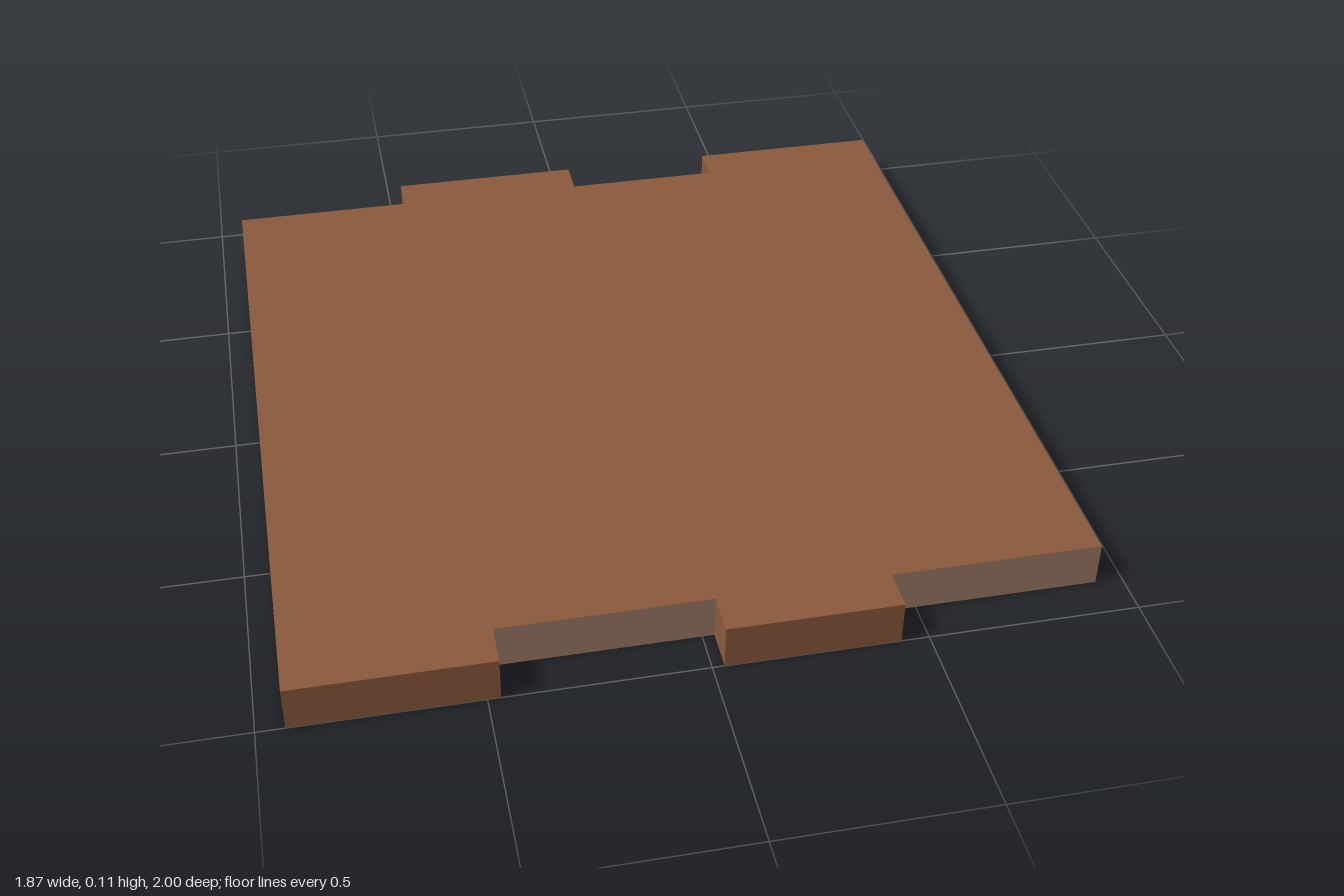
import * as THREE from 'three';

const HEIGHT = 0.11;
// Board seams across the width; neighbouring boards are staggered lengthwise
const SEAMS = [-0.935, -0.47, 0.028, 0.435, 0.935];
const LONG = 1, SHORT = 0.9;

export function createModel() {
  const wood = new THREE.MeshStandardMaterial({ color: 0x8b5a3e });
  wood.name = 'brown wood';
  const endGrain = new THREE.MeshStandardMaterial({ color: 0x9d7b67 });
  endGrain.name = 'pale end grain';

  // Staggered outline: front edge left to right, then back edge in return
  const front = [], back = [];
  for (let i = 0; i < 4; i++) {
    const shifted = i % 2 === 1;
    const zFront = shifted ? SHORT : LONG;
    const zBack = shifted ? -LONG : -SHORT;
    for (const x of [SEAMS[i], SEAMS[i + 1]]) {
      front.push(new THREE.Vector2(x, zFront));
      back.unshift(new THREE.Vector2(x, zBack));
    }
  }
  const outline = new THREE.Shape([...front, ...back]);
  const geometry = new THREE.ExtrudeGeometry(outline, { depth: HEIGHT, bevelEnabled: false });
  geometry.rotateX(Math.PI / 2).translate(0, HEIGHT, 0);

  // End faces of the shifted boards get the pale end grain
  const pos = geometry.attributes.position, normal = geometry.attributes.normal;
  geometry.clearGroups();
  for (let i = 0; i < pos.count; i += 3) {
    const x = (pos.getX(i) + pos.getX(i + 1) + pos.getX(i + 2)) / 3;
    const shifted = (x > SEAMS[1] && x < SEAMS[2]) || x > SEAMS[3];
    const isEnd = Math.abs(normal.getZ(i)) > 0.9;
    geometry.addGroup(i, 3, isEnd && shifted ? 1 : 0);
  }

  const floor = new THREE.Mesh(geometry, [wood, endGrain]);
  floor.name = 'plankFloor';
  const group = new THREE.Group();
  group.name = 'floorTile';
  group.add(floor);
  return group;
}
